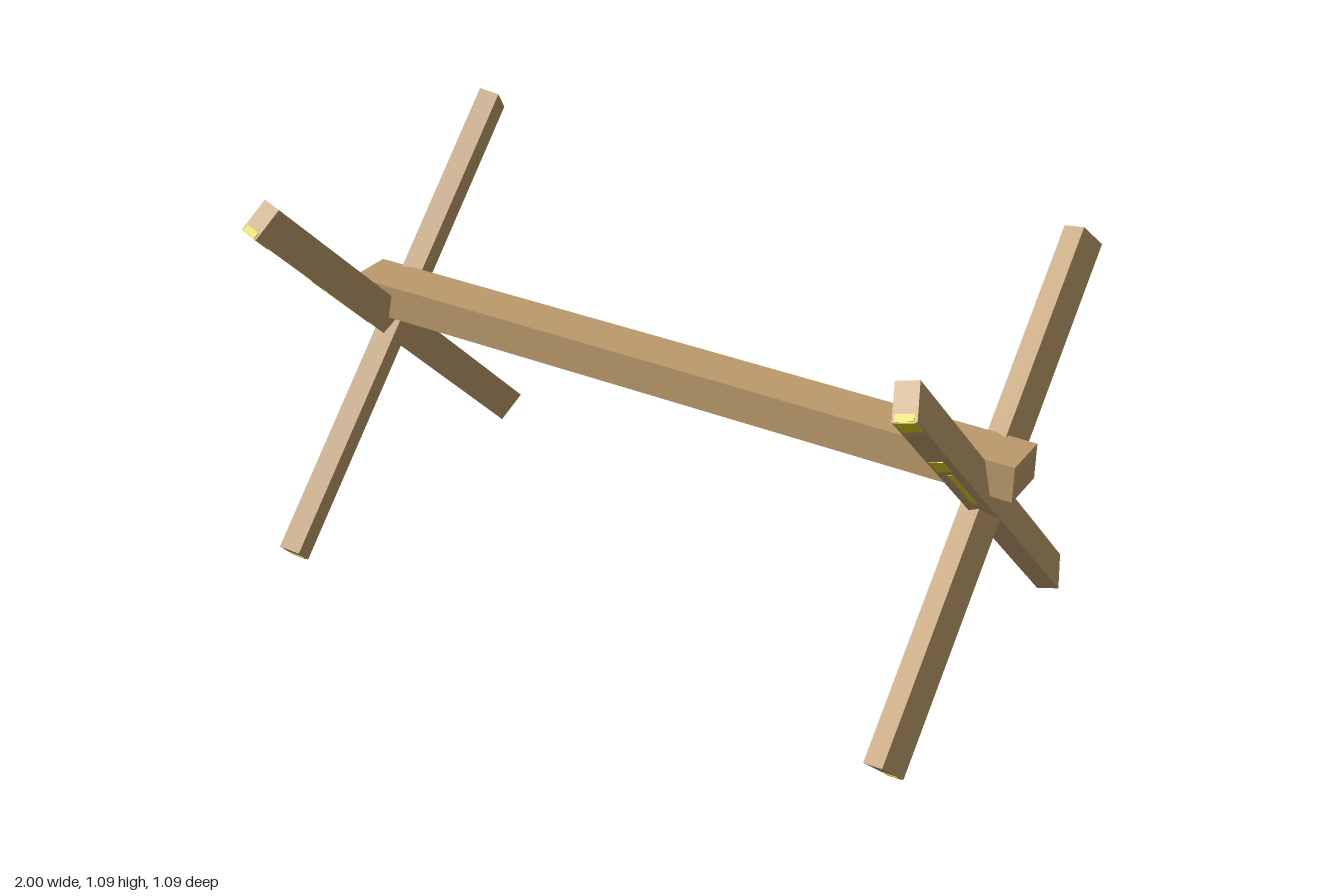
import * as THREE from 'three';

export function createModel() {
  const wood = new THREE.MeshStandardMaterial({ color: 0xbb9a6b });
  wood.name = 'lightWood';
  const yellow = new THREE.MeshStandardMaterial({ color: 0xd6cc1c });
  yellow.name = 'yellowPaint';
  const model = new THREE.Group();
  model.name = 'woodenBarrier';

  const box = (parent, name, material, size, position) => {
    const mesh = new THREE.Mesh(new THREE.BoxGeometry(...size), material);
    mesh.name = name;
    mesh.position.set(...position);
    parent.add(mesh);
  };

  // Long horizontal beam resting in the crossed supports
  box(model, 'beam', wood, [2, 0.097, 0.135], [0, 0.634, -0.0075]);

  // Worn paint on the back of the beam: [x from, x to, y from, y to]
  const beamPaint = [
    [-0.22, 0.09, 0.645, 0.652],
    [-0.42, -0.08, 0.628, 0.636],
    [-0.50, -0.20, 0.612, 0.622],
    [-0.62, -0.32, 0.594, 0.610],
    [-0.995, -0.95, 0.590, 0.675],
  ];
  for (const [x0, x1, y0, y1] of beamPaint) {
    box(model, 'beamPaint', yellow, [x1 - x0, y1 - y0, 0.004], [(x0 + x1) / 2, (y0 + y1) / 2, -0.075]);
  }

  // Worn paint under the front half of each bar: [x centre, width, z from, z to]
  const barPaint = [
    [0, 0.05, 0.65, 0.7135],
    [-0.007, 0.034, 0.36, 0.43],
    [0, 0.012, 0.1, 0.33],
  ];

  // Crossed supports: two bars each, twisted about their own length
  const twist = THREE.MathUtils.degToRad(17);
  for (const side of [1, -1]) {
    const support = new THREE.Group();
    support.name = side > 0 ? 'leftSupport' : 'rightSupport';
    support.position.set(side * 0.909, 0.543, 0);
    for (const slope of [1, -1]) {
      const bar = new THREE.Group();
      bar.name = slope > 0 ? 'barRisingToBack' : 'barRisingToFront';
      bar.rotation.set(slope * Math.PI / 4, 0, side * twist);
      box(bar, 'bar', wood, [0.058, 0.096, 1.427], [0, 0, 0]);
      for (const [x, width, z0, z1] of barPaint) {
        box(bar, 'barPaint', yellow, [width, 0.004, z1 - z0], [side * x, -0.048, (z0 + z1) / 2]);
      }
      box(bar, 'barEndPaint', yellow, [0.045, 0.018, 0.004], [0, -0.038, 0.7135]);
      support.add(bar);
    }
    model.add(support);
  }
  return model;
}
